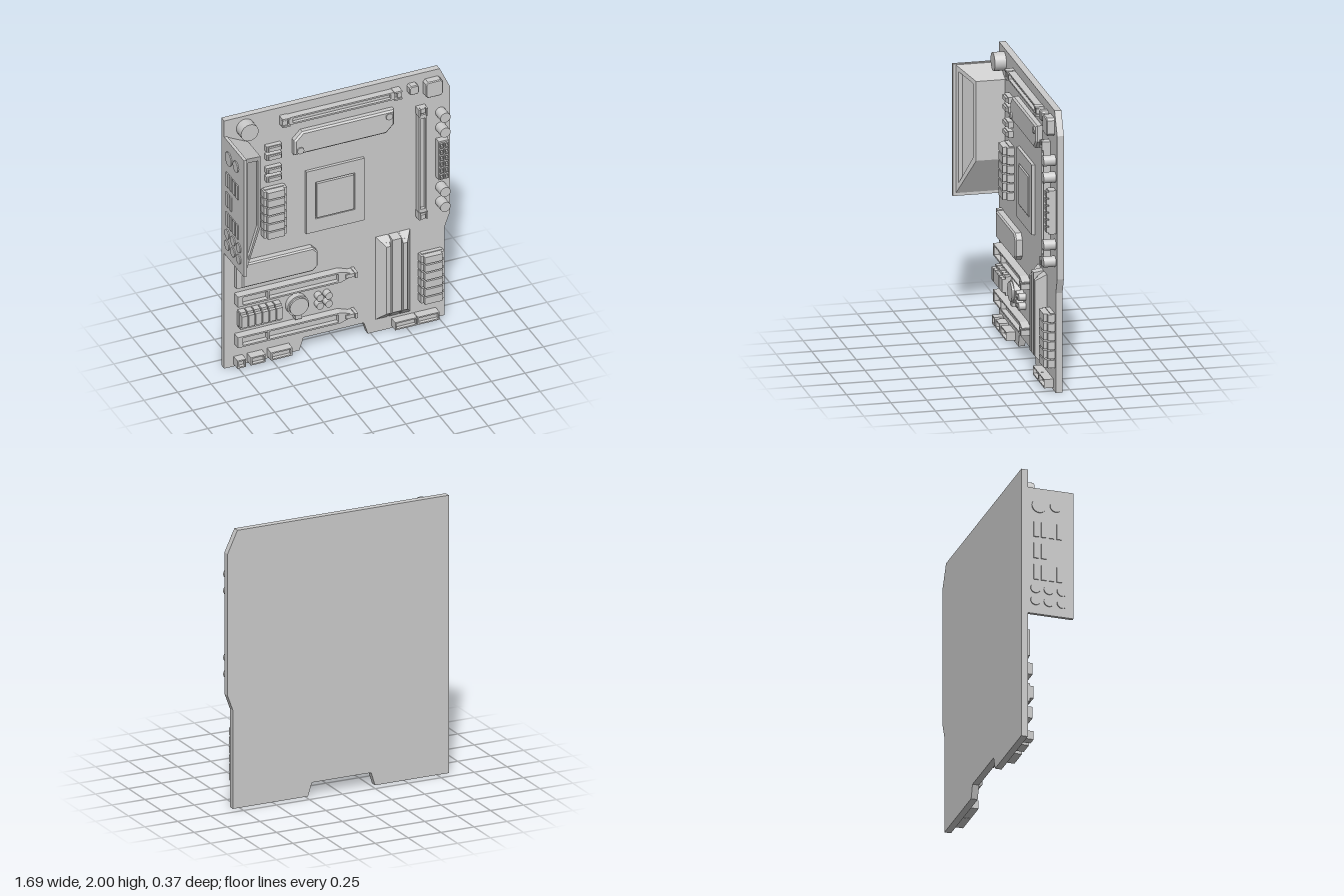
import * as THREE from 'three';

const grey = new THREE.MeshStandardMaterial({ color: 0xcccccc });
const F = -0.14; // front surface of the board

export function createModel() {
  const root = new THREE.Group();
  root.name = 'circuitBoard';

  const add = (name, geo, parent = root) => {
    const m = new THREE.Mesh(geo, grey);
    m.name = name;
    parent.add(m);
    return m;
  };
  const group = (name) => {
    const g = new THREE.Group();
    g.name = name;
    root.add(g);
    return g;
  };
  // Box given by its extents, from the board up to z1
  const box = (name, x0, x1, y0, y1, z1, parent, z0 = F) =>
    add(name, new THREE.BoxGeometry(x1 - x0, y1 - y0, z1 - z0)
      .translate((x0 + x1) / 2, (y0 + y1) / 2, (z0 + z1) / 2), parent);
  // Box whose front face is inset: left, right, bottom, top
  const frustum = (name, x0, x1, y0, y1, z1, [l, r, b, t], parent) => {
    const m = box(name, x0, x1, y0, y1, z1, parent);
    const p = m.geometry.attributes.position;
    const cx = (x0 + x1) / 2, cy = (y0 + y1) / 2;
    for (let i = 0; i < p.count; i++) {
      if (p.getZ(i) < z1 - 1e-4) continue;
      p.setXY(i, p.getX(i) < cx ? x0 + l : x1 - r, p.getY(i) < cy ? y0 + b : y1 - t);
    }
    m.geometry.computeVertexNormals();
    return m;
  };
  const cyl = (name, x, y, r, z1, parent, z0 = F) =>
    add(name, new THREE.CylinderGeometry(r, r, z1 - z0, 24).rotateX(Math.PI / 2)
      .translate(x, y, (z0 + z1) / 2), parent);
  const outline = (pts) => new THREE.Shape(pts.map(([x, y]) => new THREE.Vector2(x, y)));
  const rect = (x0, x1, y0, y1) => [[x0, y0], [x1, y0], [x1, y1], [x0, y1]];
  const plate = (name, pts, z1, { holes = [], bevel = 0, z0 = F } = {}, parent) => {
    const s = outline(pts);
    s.holes = holes.map(outline);
    const geo = new THREE.ExtrudeGeometry(s, {
      depth: z1 - z0 - bevel, bevelEnabled: bevel > 0, bevelThickness: bevel,
      bevelSize: bevel, bevelOffset: -bevel, bevelSegments: 1,
    });
    return add(name, geo.translate(0, 0, z0), parent);
  };

  // Board
  plate('board', [[-0.84, 0], [-0.28, 0], [-0.25, 0.095], [0.2, 0.095], [0.23, 0], [0.8, 0],
    [0.8, 0.71], [0.84, 0.82], [0.84, 1.84], [0.765, 2], [-0.84, 2]], F, { z0: -0.187 });

  // Side port plate with its sockets on the outer face
  const ports = group('portPlate');
  box('portPlateSheet', -0.84, -0.817, 0.93, 1.87, 0.187, ports);
  const roundPort = (y, z, r) => add('roundPort',
    new THREE.CylinderGeometry(r, r, 0.012, 20).rotateZ(Math.PI / 2).translate(-0.842, y, z), ports);
  roundPort(1.74, -0.06, 0.052);
  roundPort(1.75, 0.06, 0.042);
  for (const y of [1.12, 1.03]) for (const z of [-0.085, 0.01, 0.105]) roundPort(y, z, 0.036);
  for (const [y, n] of [[1.56, 4], [1.4, 2], [1.24, 4]]) {
    for (let i = 0; i < n; i++) {
      const z = -0.1 + i * 0.055;
      box('slotPort', -0.848, -0.836, y - 0.055, y + 0.055, z + 0.036, ports, z);
    }
  }

  // Sloping cover beside the ports, with a sunken panel
  const slope = (m, drop) => {
    const p = m.geometry.attributes.position;
    for (let i = 0; i < p.count; i++) {
      if (p.getZ(i) > F + 0.01) p.setZ(i, 0.168 - drop - (p.getX(i) + 0.82) * 0.66);
    }
    m.geometry.computeVertexNormals();
  };
  const panel = [[-0.795, 1.03], [-0.685, 1.235], [-0.685, 1.765], [-0.795, 1.82]];
  slope(plate('portCover', [[-0.82, 0.945], [-0.66, 1.22], [-0.66, 1.785], [-0.82, 1.865]], 0.1,
    { holes: [panel] }, ports), 0);
  slope(plate('portCoverPanel', panel, 0.1, {}, ports), 0.025);

  // Capacitors
  cyl('largeCapacitor', -0.685, 1.91, 0.065, -0.06);
  for (const y of [1.65, 1.53, 1.05, 0.93]) cyl('capacitor', 0.77, y, 0.038, -0.055);

  // Memory slots: a grooved bar with a latch at each end
  const memorySlot = (length) => {
    const g = group('memorySlot'), h = length / 2;
    plate('slotBody', rect(-h + 0.05, h - 0.05, -0.03, 0.03), -0.09,
      { holes: [rect(-h + 0.08, h - 0.08, -0.018, 0.018)] }, g);
    box('slotFloor', -h + 0.07, h - 0.07, -0.02, 0.02, -0.115, g);
    for (const s of [-1, 1]) {
      const a = s * h, b = s * (h - 0.058), c = s * (h - 0.035);
      box('latchBase', Math.min(a, b), Math.max(a, b), -0.034, 0.034, -0.105, g);
      box('latchLever', Math.min(a, c), Math.max(a, c), -0.018, 0.018, -0.085, g);
      for (const y of [-0.034, 0.022]) box('latchCheek', Math.min(a, b), Math.max(a, b), y, y + 0.012, -0.08, g);
    }
    return g;
  };
  memorySlot(0.89).position.set(0.015, 1.903, 0);
  const upright = memorySlot(0.89);
  upright.position.set(0.618, 1.3, 0);
  upright.rotation.z = Math.PI / 2;

  // Corner chips with clipped corners
  const chip = (x, y, h, c, z) => plate('cornerChip', [[x - h + c, y - h], [x + h - c, y - h], [x + h, y - h + c],
    [x + h, y + h - c], [x + h - c, y + h], [x - h + c, y + h], [x - h, y + h - c], [x - h, y - h + c]], z, { bevel: 0.006 });
  chip(0.555, 1.907, 0.035, 0.012, -0.09);
  chip(0.703, 1.883, 0.063, 0.016, -0.085);

  // Upper heat sink and its screws
  plate('upperHeatSink', [[-0.335, 1.61], [0.35, 1.61], [0.41, 1.67], [0.41, 1.785], [-0.275, 1.785], [-0.335, 1.725]],
    -0.095, { bevel: 0.012 });
  for (const [x, y] of [[-0.293, 1.645], [0.368, 1.745]]) cyl('screw', x, y, 0.025, -0.085);

  // Processor socket
  plate('socketFrame', rect(-0.238, 0.195, 0.94, 1.44), -0.118, { holes: [rect(-0.17, 0.125, 1.045, 1.34)] });
  box('socketFloor', -0.18, 0.135, 1.035, 1.35, -0.132);
  box('processor', -0.16, 0.115, 1.055, 1.33, -0.112);

  // Small power chips
  for (const y of [1.708, 1.64, 1.533, 1.465]) {
    box('powerChip', -0.54, -0.425, y - 0.022, y + 0.022, -0.105);
    box('powerChipCap', -0.53, -0.435, y - 0.015, y + 0.015, -0.09);
  }

  // Rows of stepped blocks
  const blockRow = (name, x, y, width, pitch) => {
    const g = group(name);
    box('rowBase', -width / 2 + 0.012, width / 2 - 0.012, -3 * pitch, 3 * pitch, -0.11, g);
    for (let i = 0; i < 6; i++) {
      const c = (i - 2.5) * pitch, h = pitch * 0.42;
      box('block', -width / 2 + 0.018, width / 2 - 0.026, c - h, c + h, -0.065, g);
      box('blockFoot', -width / 2, width / 2, c - h, c + h, -0.09, g);
    }
    g.position.set(x, y, 0);
    return g;
  };
  blockRow('chokeRow', -0.48, 1.193, 0.17, 0.064);
  blockRow('driveConnectors', 0.692, 0.363, 0.175, 0.065);
  blockRow('lowerBlockRow', -0.588, 0.383, 0.135, 0.052).rotation.z = -Math.PI / 2;

  // Main power connector
  const power = group('powerConnector');
  box('connectorBody', 0.735, 0.81, 1.135, 1.445, -0.09, power);
  for (let i = 0; i < 6; i++) for (const x of [0.755, 0.791]) {
    const y = 1.165 + i * 0.05;
    plate('pinSocket', rect(x - 0.014, x + 0.014, y - 0.019, y + 0.019), -0.075,
      { holes: [rect(x - 0.008, x + 0.008, y - 0.012, y + 0.012)] }, power);
  }

  // Storage heat sink
  box('storageMount', -0.765, -0.72, 0.645, 0.84, -0.1);
  plate('storageHeatSink', [[-0.725, 0.645], [-0.2, 0.645], [-0.162, 0.68], [-0.162, 0.795], [-0.2, 0.835], [-0.725, 0.835]],
    -0.09, { bevel: 0.01 });

  // Expansion slots with a tapered end and latch
  for (const y of [0.55, 0.222]) {
    const g = group('expansionSlot');
    plate('expansionBody', [[-0.765, -0.042], [0, -0.042], [0.07, -0.018], [0.07, 0.018], [0, 0.042], [-0.765, 0.042]], -0.08,
      { holes: [rect(-0.727, -0.542, -0.03, 0.03), rect(-0.53, -0.015, -0.03, 0.03)] }, g);
    box('expansionFloor', -0.74, -0.005, -0.033, 0.033, -0.115, g);
    box('latchArm', 0.035, 0.122, -0.014, 0.014, -0.07, g);
    box('latchTab', 0.1, 0.122, -0.02, 0.02, -0.06, g);
    g.position.y = y;
  }

  // Coin battery and nearby round parts
  cyl('batteryHolder', -0.305, 0.388, 0.08, -0.1);
  cyl('battery', -0.305, 0.388, 0.069, -0.085);
  box('batteryClip', -0.33, -0.28, 0.285, 0.325, -0.095);
  for (const x of [-0.145, -0.08]) for (const y of [0.415, 0.35]) cyl('smallCapacitor', x, y, 0.027, -0.09);

  // Lower heat sink: three ridges over a channel floor
  const sink = group('lowerHeatSink');
  frustum('sinkBase', 0.3, 0.53, 0.105, 0.76, -0.095, [0.04, 0.04, 0.045, 0.03], sink);
  frustum('leftRidge', 0.288, 0.37, 0.1, 0.765, -0.07, [0.05, 0, 0.07, 0.055], sink);
  frustum('middleRidge', 0.383, 0.45, 0.1, 0.765, -0.07, [0, 0, 0.07, 0.01], sink);
  frustum('rightRidge', 0.463, 0.543, 0.1, 0.765, -0.07, [0, 0.05, 0.07, 0.055], sink);

  // Bottom edge headers, open at the front
  for (const [x0, x1] of [[-0.77, -0.705], [-0.67, -0.56], [-0.52, -0.36], [0.405, 0.568], [0.572, 0.735]]) {
    plate('edgeHeader', rect(x0, x1, 0.018, 0.08), -0.075, { holes: [rect(x0 + 0.01, x1 - 0.01, 0.028, 0.07)] });
    box('headerFloor', x0 + 0.005, x1 - 0.005, 0.023, 0.075, -0.1);
  }

  return root;
}
